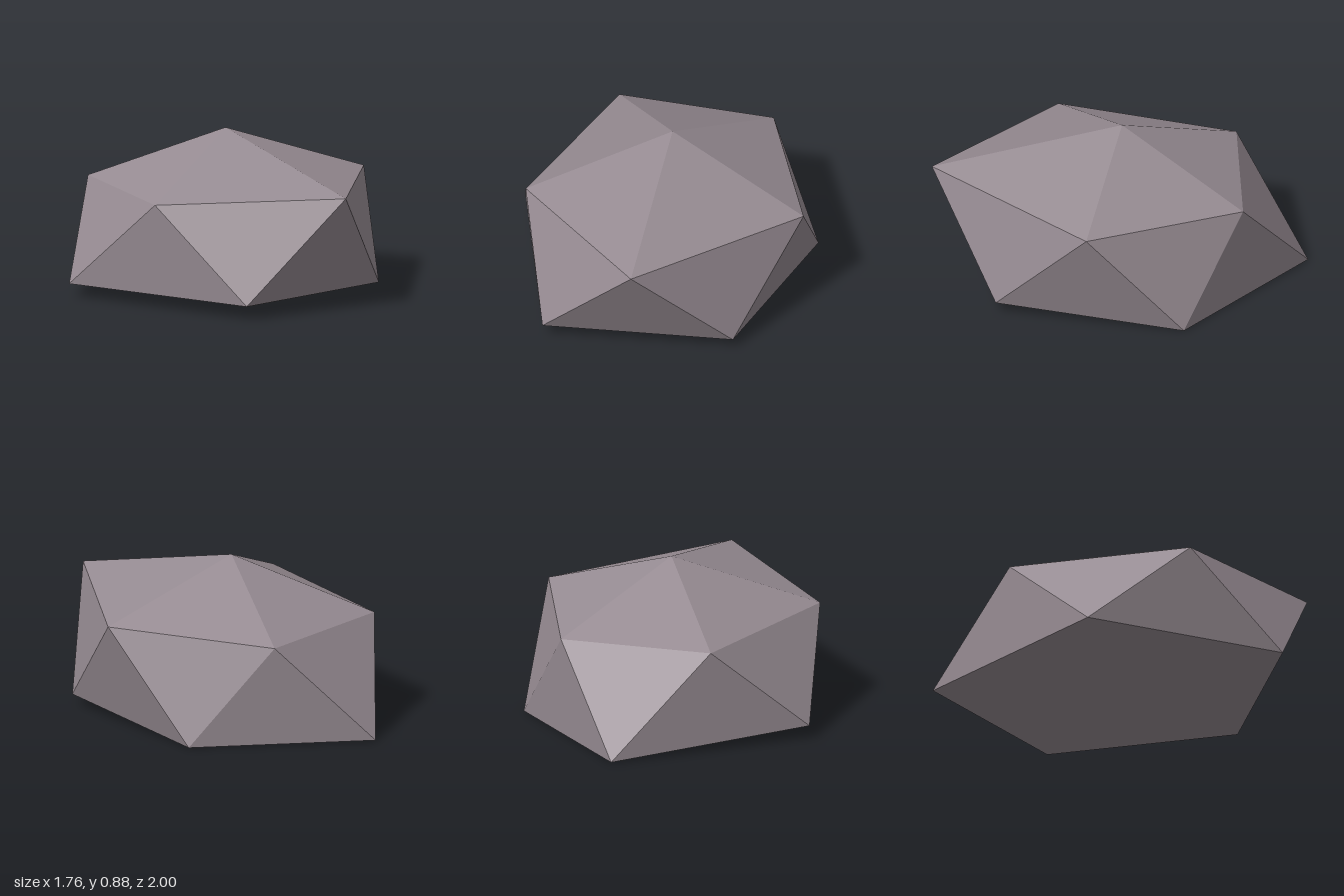
import * as THREE from 'three';

// A low-poly boulder: two irregular five-point rings capped by a crown and a base point.
const CROWN = [0.05, 0.885, -0.01];
const UPPER = [[0.88, 0.605, -0.01], [0.35, 0.65, 1.0], [-0.59, 0.595, 0.51], [-0.565, 0.57, -0.51], [0.275, 0.56, -0.755]];
const LOWER = [[0.74, 0.06, 0.54], [-0.23, 0.08, 0.965], [-0.885, 0.075, -0.015], [-0.235, 0.005, -1.0], [0.69, 0, -0.52]];
const BASE = [0.05, 0.025, 0.03];

function boulderGeometry() {
  const corners = [];
  const n = UPPER.length;
  for (let i = 0; i < n; i++) {
    const j = (i + 1) % n;
    corners.push(CROWN, UPPER[j], UPPER[i]);      // top facet
    corners.push(UPPER[i], UPPER[j], LOWER[i]);   // side facet pointing down
    corners.push(LOWER[i], UPPER[j], LOWER[j]);   // side facet pointing up
    corners.push(BASE, LOWER[i], LOWER[j]);       // underside facet
  }
  const geometry = new THREE.BufferGeometry();
  geometry.setAttribute('position', new THREE.Float32BufferAttribute(corners.flat(), 3));
  geometry.computeVertexNormals();
  return geometry;
}

export function createModel() {
  const stone = new THREE.MeshStandardMaterial({ color: 0x968b92, flatShading: true });
  stone.name = 'stone grey';

  const boulder = new THREE.Mesh(boulderGeometry(), stone);
  boulder.name = 'boulder';

  const model = new THREE.Group();
  model.name = 'rock';
  model.add(boulder);
  return model;
}
